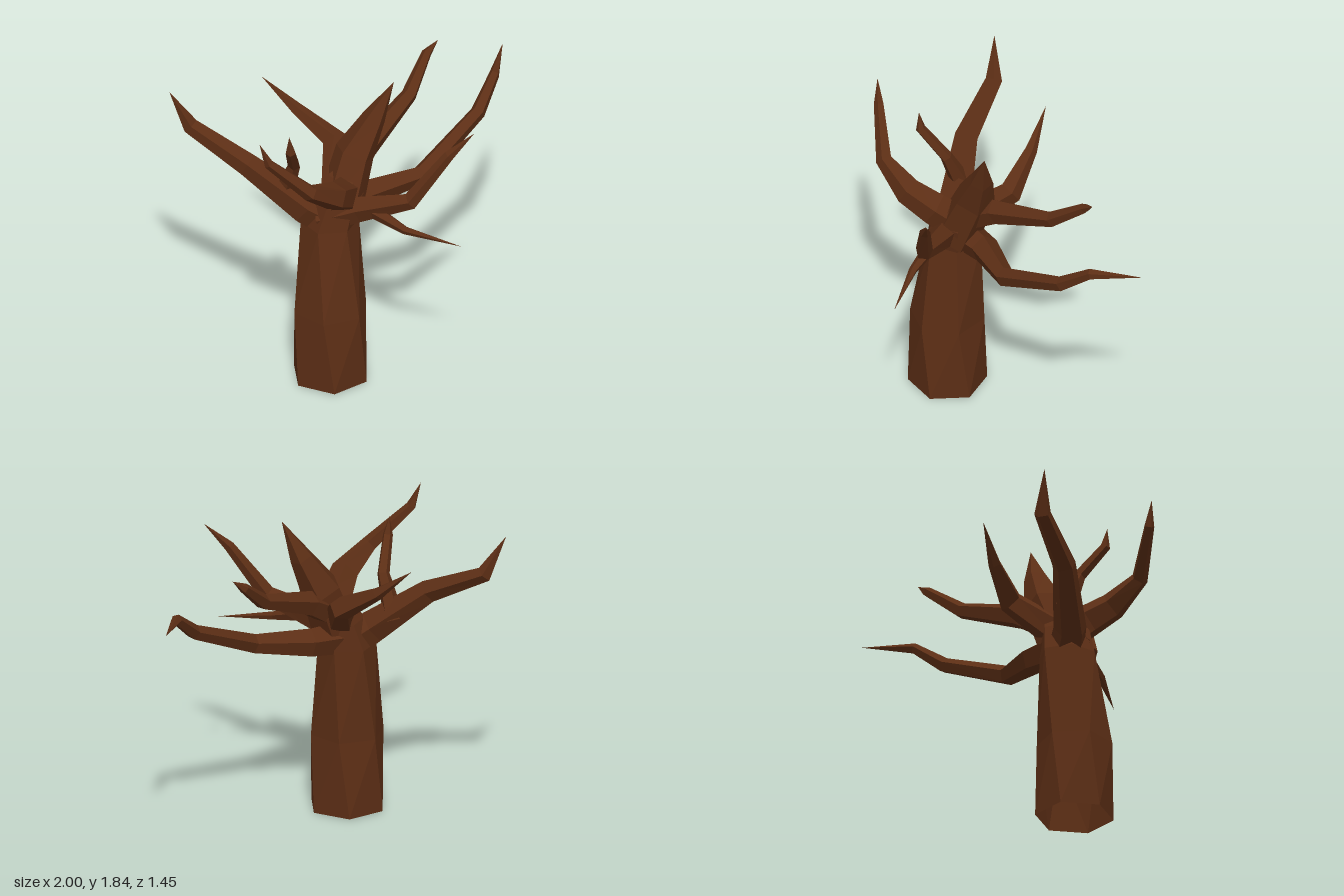
import * as THREE from 'three';

const bark = new THREE.MeshStandardMaterial({ color: 0x5c2e15, flatShading: true, side: THREE.DoubleSide });

// Skin a list of rings (equal point counts, counter-clockwise about the path), open at the start
function loft(rings, name) {
  const pos = [];
  const tri = (a, b, c) => {
    const area = b.clone().sub(a).cross(c.clone().sub(a)).length();
    if (area > 1e-9) pos.push(...a.toArray(), ...b.toArray(), ...c.toArray());
  };
  const n = rings[0].length;
  for (let k = 0; k < rings.length - 1; k++) {
    const a = rings[k], b = rings[k + 1];
    for (let i = 0; i < n; i++) {
      const j = (i + 1) % n;
      tri(a[i], a[j], b[j]);
      tri(a[i], b[j], b[i]);
    }
  }
  const geo = new THREE.BufferGeometry();
  geo.setAttribute('position', new THREE.Float32BufferAttribute(pos, 3));
  geo.computeVertexNormals();
  const mesh = new THREE.Mesh(geo, bark);
  mesh.name = name;
  return mesh;
}

// Horizontal six-sided ring, twisted by a number of degrees
function trunkRing([x, y, z, r, twist]) {
  return Array.from({ length: 6 }, (_, i) => {
    const a = (i * 60 - twist) * Math.PI / 180;
    return new THREE.Vector3(x + r * Math.sin(a), y, z + r * Math.cos(a));
  });
}

// Tapering limb through points [x, y, z, radius]; the frame is carried along the bends
function branch(name, points, sides = 5) {
  const c = points.map(p => new THREE.Vector3(p[0], p[1], p[2]));
  const dir = i => c[i + 1].clone().sub(c[i]).normalize();
  let u = null, prev = null;
  const rings = c.map((center, i) => {
    const t = i === 0 ? dir(0)
      : i === c.length - 1 ? dir(i - 1)
      : dir(i - 1).add(dir(i)).normalize();
    if (u) u.applyQuaternion(new THREE.Quaternion().setFromUnitVectors(prev, t));
    else u = new THREE.Vector3(0, 1, 0).addScaledVector(t, -t.y).normalize();
    prev = t;
    const v = t.clone().cross(u);
    return Array.from({ length: sides }, (_, k) => {
      const a = k / sides * Math.PI * 2;
      return center.clone()
        .addScaledVector(u, points[i][3] * Math.cos(a))
        .addScaledVector(v, points[i][3] * Math.sin(a));
    });
  });
  return loft(rings, name);
}

export function createModel() {
  const tree = new THREE.Group();
  tree.name = 'bareTree';

  // Trunk: twisted hexagonal column, open underneath, closing inside the crown
  tree.add(loft([
    [-0.107, 0, 0.327, 0.228, 0],
    [-0.108, 0.46, 0.328, 0.218, 16],
    [-0.105, 1.02, 0.285, 0.168, 30],
    [-0.06, 1.18, 0.28, 0.15, 30],
    [-0.02, 1.3, 0.24, 0.09, 30],
    [-0.01, 1.36, 0.22, 0, 30],
  ].map(trunkRing), 'trunk'));

  // Limbs, each from inside the crown to a pointed tip
  const limbs = {
    rightBranch: [[-0.1, 1.02, 0.28, 0.11], [-0.25, 1.12, 0.28, 0.1], [-0.57, 1.37, 0.19, 0.07],
      [-0.88, 1.54, 0.01, 0.05], [-1, 1.77, 0, 0]],
    rightTwig: [[-0.37, 1.18, 0.22, 0.065], [-0.315, 1.43, 0.32, 0.037],
      [-0.35, 1.61, 0.465, 0.03], [-0.36, 1.72, 0.475, 0]],
    frontBranch: [[-0.05, 1.14, 0.25, 0.11], [-0.05, 1.27, 0.41, 0.1], [-0.11, 1.35, 0.55, 0.085],
      [-0.26, 1.465, 0.68, 0.05], [-0.5, 1.69, 0.695, 0.03], [-0.555, 1.83, 0.7, 0]],
    backBranch: [[-0.06, 1.12, 0.33, 0.11], [-0.05, 1.36, -0.03, 0.072],
      [-0.25, 1.5, -0.16, 0.038], [-0.44, 1.67, -0.26, 0]],
    topSpike: [[-0.05, 1.08, 0.28, 0.14], [0.05, 1.4, 0.18, 0.12],
      [0.165, 1.61, 0.15, 0.07], [0.28, 1.84, 0.14, 0]],
    backLeftUpperBranch: [[-0.03, 1.22, 0.24, 0.09], [0.13, 1.36, 0.06, 0.075],
      [0.41, 1.5, -0.24, 0.047], [0.53, 1.66, -0.42, 0.03], [0.6, 1.72, -0.46, 0]],
    backLeftLowerBranch: [[-0.08, 1.07, 0.25, 0.1], [0.12, 1.09, 0.13, 0.085], [0.45, 1.13, 0.035, 0.058],
      [0.81, 1.335, -0.27, 0.045], [0.92, 1.48, -0.43, 0.032], [1, 1.5, -0.72, 0]],
    frontLeftBranch: [[-0.17, 1.06, 0.32, 0.09], [0.05, 1.14, 0.37, 0.08], [0.34, 1.25, 0.49, 0.052],
      [0.56, 1.55, 0.5, 0.032], [0.705, 1.69, 0.5, 0]],
    frontLeftTwig: [[0.08, 1.17, 0.38, 0.05], [0.3, 1.09, 0.55, 0.025], [0.61, 1.04, 0.68, 0]],
  };
  for (const [name, points] of Object.entries(limbs)) tree.add(branch(name, points));

  return tree;
}
